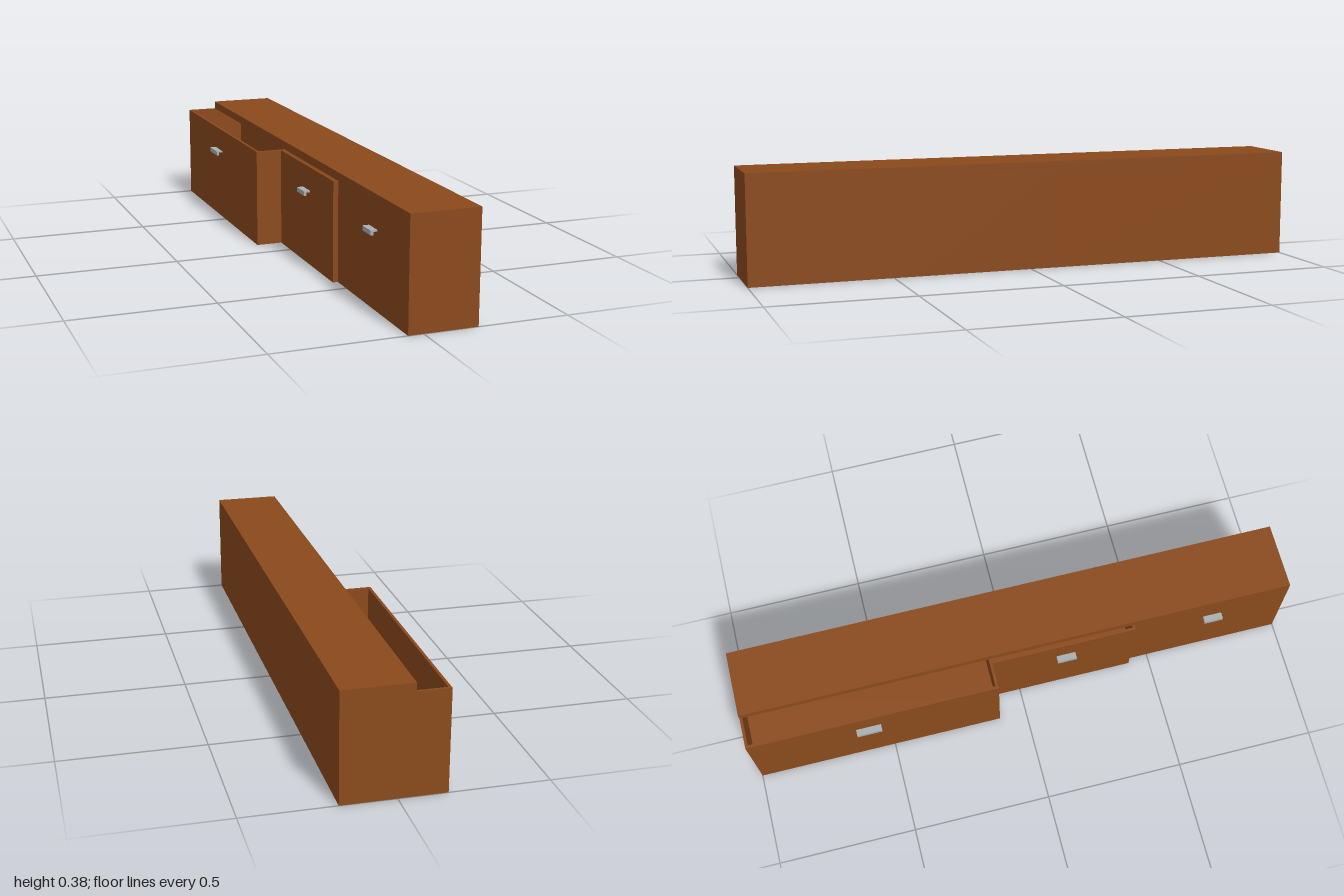
import * as THREE from 'three';

const FACE_X = -0.052, BACK_X = 0.186;   // cabinet front and rear planes
const DRAWER_H = 0.353, TOP_Y = 0.382;
const DEPTH = 0.235, WALL = 0.01, FLOOR_Y = 0.206;

export function createModel() {
  const wood = new THREE.MeshStandardMaterial({ color: 0x8b4a1c });
  wood.name = 'brownWood';
  const metal = new THREE.MeshStandardMaterial({ color: 0xa8b0b4 });
  metal.name = 'greyMetal';

  const model = new THREE.Group();
  model.name = 'drawerCabinet';

  // Box given by its lower and upper limits on each axis
  function box(parent, name, material, [x0, x1], [y0, y1], [z0, z1]) {
    const mesh = new THREE.Mesh(new THREE.BoxGeometry(x1 - x0, y1 - y0, z1 - z0), material);
    mesh.position.set((x0 + x1) / 2, (y0 + y1) / 2, (z0 + z1) / 2);
    mesh.name = name;
    parent.add(mesh);
  }

  // Top panel over all three bays
  box(model, 'topPanel', wood, [FACE_X, BACK_X], [DRAWER_H, TOP_Y], [-1, 1]);

  // Each bay: drawer range in z, front plane in x, handle range in z
  const bays = [
    { name: 'openDrawer', z: [-1, -0.1], front: -0.164, handle: [-0.62, -0.53] },
    { name: 'ajarDrawer', z: [-0.1, 0.425], front: -0.07, handle: [0.135, 0.205] },
    { name: 'closedDrawer', z: [0.425, 1], front: FACE_X, handle: [0.69, 0.758] },
  ];

  for (const { name, z: [z0, z1], front, handle } of bays) {
    const rear = front + DEPTH, h = [0, DRAWER_H];
    const drawer = new THREE.Group();
    drawer.name = name;
    model.add(drawer);

    // Open-topped tray
    box(drawer, 'drawerFront', wood, [front, front + WALL], h, [z0, z1]);
    box(drawer, 'drawerBack', wood, [rear - WALL, rear], h, [z0, z1]);
    const inner = [front + WALL, rear - WALL];
    box(drawer, 'drawerSide', wood, inner, h, [z0, z0 + WALL]);
    box(drawer, 'drawerSide', wood, inner, h, [z1 - WALL, z1]);
    box(drawer, 'drawerBase', wood, inner, [0, FLOOR_Y], [z0 + WALL, z1 - WALL]);

    // Hooked pull: flat arm with a downturned lip
    const pull = new THREE.Group();
    pull.name = 'handle';
    drawer.add(pull);
    box(pull, 'handleArm', metal, [front - 0.014, front], [0.264, 0.269], handle);
    box(pull, 'handleLip', metal, [front - 0.023, front - 0.014], [0.253, 0.269], handle);

    // Cabinet body behind the drawer
    box(model, 'cabinetRear', wood, [rear, BACK_X], h, [z0, z1]);
  }
  return model;
}
